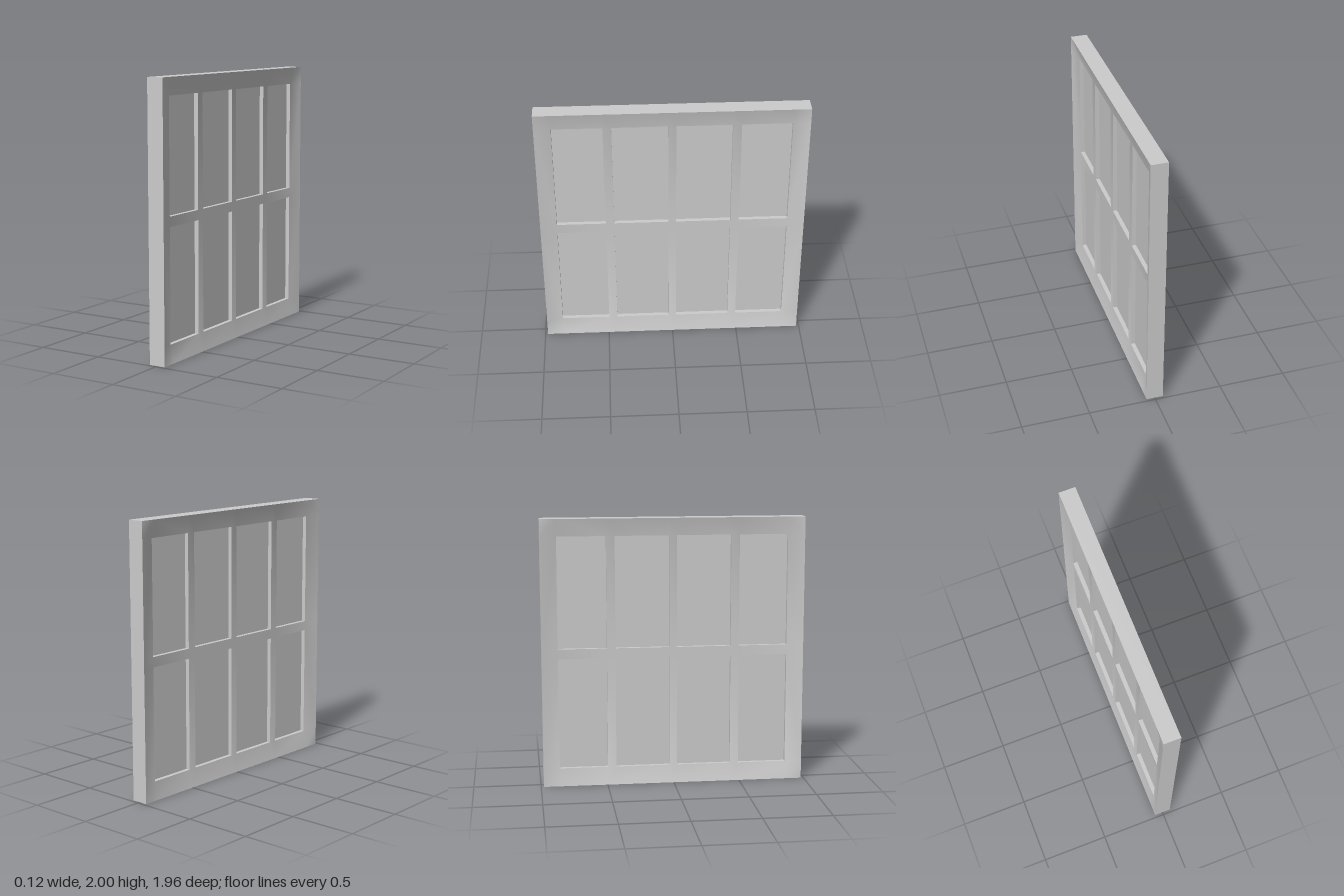
import * as THREE from 'three';
import { toCreasedNormals } from 'three/addons/utils/BufferGeometryUtils.js';

// Grid lines of the window: odd cells are openings, even cells are frame or bars
const zs = [-0.98, -0.858, -0.495, -0.432, -0.028, 0.028, 0.432, 0.495, 0.858, 0.98];
const ys = [0, 0.13, 0.963, 1.037, 1.87, 2];
const lastY = ys.length - 1, lastZ = zs.length - 1;
const outerHalf = 0.0625, barHalf = 0.031;
const isOpening = (i, j) => i % 2 === 1 && j % 2 === 1;

// Frame thickest at its outer edge, sloping down to the flat glazing bars
function frameGeometry() {
  const positions = [];
  const point = ([i, j], side) => {
    const rim = i === 0 || j === 0 || i === lastY || j === lastZ;
    return [side * (rim ? outerHalf : barHalf), ys[i], zs[j]];
  };
  const quad = (a, b, c, d) => positions.push(...a, ...b, ...c, ...a, ...c, ...d);

  // Walls around a block of cells, facing outward or inward
  const walls = (i0, j0, i1, j1, inward) => {
    const loop = [[i0, j0], [i1, j0], [i1, j1], [i0, j1]];
    loop.forEach((p, k) => {
      const q = loop[(k + 1) % 4];
      const corners = [point(p, -1), point(q, -1), point(q, 1), point(p, 1)];
      quad(...(inward ? corners.reverse() : corners));
    });
  };

  walls(0, 0, lastY, lastZ, false);
  for (let i = 0; i < lastY; i++) {
    for (let j = 0; j < lastZ; j++) {
      if (isOpening(i, j)) {
        walls(i, j, i + 1, j + 1, true);
        continue;
      }
      // Both faces, split so that the frame corners are mitred
      const cell = [[i, j], [i + 1, j], [i + 1, j + 1], [i, j + 1]];
      if ((i === 0) !== (j === 0)) cell.push(cell.shift());
      quad(...cell.map((c) => point(c, 1)));
      quad(...cell.map((c) => point(c, -1)).reverse());
    }
  }

  const geometry = new THREE.BufferGeometry();
  geometry.setAttribute('position', new THREE.Float32BufferAttribute(positions, 3));
  return toCreasedNormals(geometry, 0.6);
}

export function createModel() {
  const group = new THREE.Group();
  group.name = 'window';

  const frame = new THREE.Mesh(frameGeometry(), new THREE.MeshStandardMaterial({ color: 0xcccccc }));
  frame.name = 'windowFrame';
  group.add(frame);

  // Thin panes in the middle of the frame
  const paneMaterial = new THREE.MeshStandardMaterial({ color: 0xcccccc, side: THREE.DoubleSide });
  for (let i = 1; i < lastY; i += 2) {
    for (let j = 1; j < lastZ; j += 2) {
      const pane = new THREE.Mesh(
        new THREE.PlaneGeometry(zs[j + 1] - zs[j], ys[i + 1] - ys[i]),
        paneMaterial
      );
      pane.rotation.y = Math.PI / 2;
      pane.position.set(0, (ys[i] + ys[i + 1]) / 2, (zs[j] + zs[j + 1]) / 2);
      pane.name = `pane${(i + 1) / 2}_${(j + 1) / 2}`;
      group.add(pane);
    }
  }
  return group;
}
